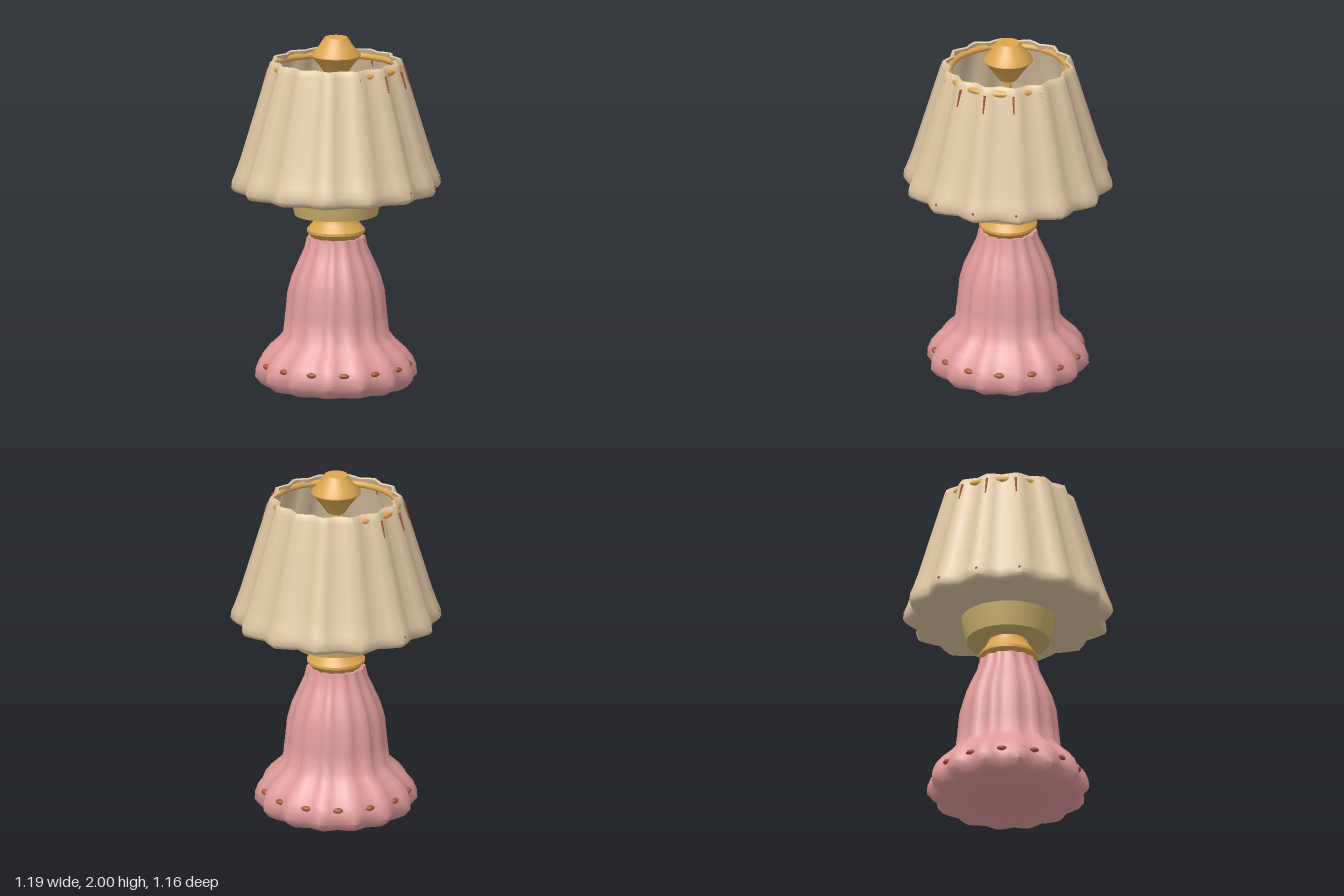
import * as THREE from 'three';
import { mergeVertices, toCreasedNormals } from 'three/addons/utils/BufferGeometryUtils.js';

const PLEATS = 14;
const STEP = (Math.PI * 2) / PLEATS;
const SHADE_DEPTH = 0.938; // the shade is slightly oval

const colour = (name, hex) => {
  const m = new THREE.MeshStandardMaterial({ color: hex });
  m.name = name;
  return m;
};

const lathe = (points, segments) =>
  new THREE.LatheGeometry(points.map(([r, y]) => new THREE.Vector2(r, y)), segments);

// Round profile whose radius dips by `dip` between evenly spaced pleats
function pleated(points, dip) {
  let geo = lathe(points, PLEATS * 4);
  const pos = geo.attributes.position;
  for (let i = 0; i < pos.count; i++) {
    const x = pos.getX(i), z = pos.getZ(i);
    const k = 1 - dip * (1 - Math.cos(PLEATS * Math.atan2(z, x))) / 2;
    pos.setX(i, x * k);
    pos.setZ(i, z * k);
  }
  geo.deleteAttribute('normal');
  geo.deleteAttribute('uv');
  return toCreasedNormals(mergeVertices(geo), 0.95);
}

export function createModel() {
  const root = new THREE.Group();
  root.name = 'tableLamp';

  const pink = colour('rosePink', 0xe09a9a);
  const linen = colour('linenBeige', 0xdfc6a3);
  const gold = colour('warmGold', 0xdda650);
  const brass = colour('paleBrass', 0xd0b46e);
  const thread = colour('rustThread', 0xaa583c);

  const add = (name, geo, mat, parent = root) => {
    const mesh = new THREE.Mesh(geo, mat);
    mesh.name = name;
    parent.add(mesh);
    return mesh;
  };

  // Fluted base with a flared foot and a lip folding in around the neck
  add('base', pleated([
    [0, 0], [0.39, 0], [0.425, 0.02], [0.458, 0.06], [0.455, 0.11], [0.435, 0.16],
    [0.395, 0.21], [0.335, 0.265], [0.3, 0.31], [0.288, 0.42], [0.275, 0.55],
    [0.25, 0.64], [0.21, 0.73], [0.178, 0.8], [0.166, 0.857], [0.148, 0.857], [0.14, 0.82], [0, 0.82],
  ], 0.085), pink);

  // Beads in the valleys of the foot
  const footBeads = new THREE.Group();
  footBeads.name = 'footBeads';
  root.add(footBeads);
  for (let i = 0; i < PLEATS; i++) {
    const a = (i + 0.5) * STEP;
    const bead = add('footBead', new THREE.SphereGeometry(1, 10, 6), thread, footBeads);
    bead.scale.set(0.02, 0.015, 0.03);
    bead.position.set(Math.cos(a) * 0.412, 0.135, Math.sin(a) * 0.412);
    bead.rotation.y = -a;
  }

  // Turned neck and finial
  add('neck', toCreasedNormals(lathe([
    [0, 0.81], [0.1, 0.815], [0.13, 0.85], [0.164, 0.885], [0.164, 0.9],
    [0.13, 0.94], [0.11, 0.985], [0.11, 1], [0, 1],
  ], 32), 0.6), gold);
  add('finial', toCreasedNormals(lathe([
    [0, 1.765], [0.05, 1.775], [0.085, 1.825], [0.115, 1.865], [0.14, 1.895], [0.138, 1.905],
    [0.1, 1.945], [0.075, 1.985], [0.064, 2], [0, 2],
  ], 32), 0.6), gold);
  add('finialRod', new THREE.CylinderGeometry(0.02, 0.02, 0.54, 12), gold).position.y = 1.51;

  // Cup holding the shade
  add('cup', toCreasedNormals(lathe([
    [0, 0.985], [0.235, 0.985], [0.265, 1.12], [0.275, 1.18], [0.265, 1.2], [0.22, 1.25], [0.165, 1.28], [0, 1.28],
  ], 40), 0.6), brass);

  // Everything on the shade shares its oval plan
  const shade = new THREE.Group();
  shade.name = 'shade';
  shade.scale.z = SHADE_DEPTH;
  root.add(shade);

  // Pleated shell: underside, outer wall, rim, inner wall, floor
  add('shadeShell', pleated([
    [0, 1.12], [0.562, 1.12], [0.582, 1.13], [0.593, 1.15], [0.589, 1.19], [0.572, 1.23],
    [0.54, 1.32], [0.455, 1.6], [0.385, 1.83], [0.371, 1.867], [0.362, 1.871], [0.352, 1.865],
    [0.365, 1.83], [0.435, 1.6], [0.52, 1.32], [0.555, 1.16], [0, 1.15],
  ], 0.09), linen);

  // Ribbon ring threaded through the pleats, showing in each valley
  const ribbon = new THREE.TorusGeometry(0.351, 0.018, 10, 84);
  ribbon.rotateX(Math.PI / 2);
  add('ribbon', ribbon, gold, shade).position.y = 1.83;

  // Stitches below the rim and knots at the hem, one on each pleat
  const up = new THREE.Vector3(0, 1, 0);
  for (let i = 0; i < PLEATS; i++) {
    const a = i * STEP, c = Math.cos(a), s = Math.sin(a);
    const length = 0.05 + 0.05 * Math.abs(c);
    const top = new THREE.Vector3(c * 0.387, 1.828, s * 0.387);
    const r = 0.387 + length * 0.31;
    const low = new THREE.Vector3(c * r, 1.828 - length, s * r);
    const stitch = add('stitch', new THREE.CylinderGeometry(0.008, 0.004, top.distanceTo(low), 6), thread, shade);
    stitch.position.copy(top).lerp(low, 0.5);
    stitch.quaternion.setFromUnitVectors(up, top.sub(low).normalize());

    const knot = add('hemKnot', new THREE.SphereGeometry(0.008, 8, 6), thread, shade);
    knot.position.set(c * 0.587, 1.185, s * 0.587);
  }

  return root;
}
